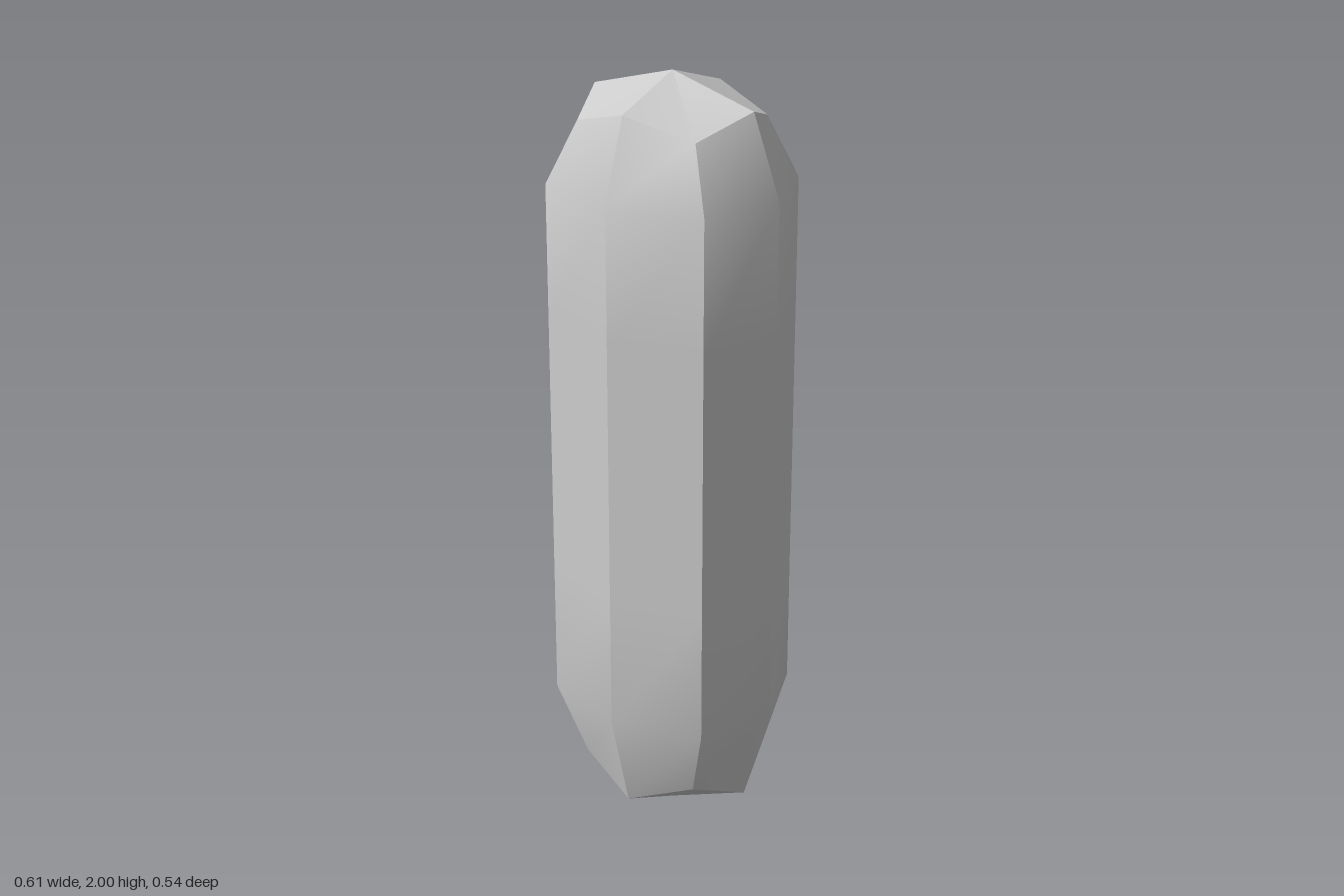
import * as THREE from 'three';
import { toCreasedNormals } from 'three/addons/utils/BufferGeometryUtils.js';

// Rings from top to bottom: half width, half depth, height of the axis points,
// then half width, half depth, height of the diagonal points
const RINGS = [
  [0.23, 0.20, 1.935, 0.17, 0.15, 1.885],
  [0.305, 0.27, 1.73, 0.23, 0.20, 1.73],
  [0.305, 0.27, 1.39, 0.23, 0.20, 1.39],
  [0.305, 0.27, 0.70, 0.23, 0.20, 0.70],
  [0.305, 0.27, 0.36, 0.23, 0.20, 0.36],
  [0.23, 0.20, 0.095, 0.17, 0.15, 0.16],
];

// Eight points around the y axis, from +x towards +z
function ringPoints([ax, az, ay, dx, dz, dy]) {
  const points = [];
  for (let i = 0; i < 8; i++) {
    const angle = (i * Math.PI) / 4;
    const sx = Math.round(Math.cos(angle));
    const sz = Math.round(Math.sin(angle));
    points.push(i % 2 ? [sx * dx, dy, sz * dz] : [sx * ax, ay, sz * az]);
  }
  return points;
}

export function createModel() {
  const rings = RINGS.map(ringPoints);
  const positions = [];
  const quad = (a, b, c, d) => positions.push(...a, ...b, ...c, ...a, ...c, ...d);

  // Faceted sides
  for (let r = 0; r < rings.length - 1; r++) {
    for (let i = 0; i < 8; i++) {
      const j = (i + 1) % 8;
      quad(rings[r][i], rings[r][j], rings[r + 1][j], rings[r + 1][i]);
    }
  }

  // Four kite facets close each end
  const top = rings[0];
  const bottom = rings[rings.length - 1];
  for (let i = 0; i < 8; i += 2) {
    const j = (i + 2) % 8;
    quad([0, 2, 0], top[j], top[i + 1], top[i]);
    quad([0, 0, 0], bottom[i], bottom[i + 1], bottom[j]);
  }

  const geometry = new THREE.BufferGeometry();
  geometry.setAttribute('position', new THREE.Float32BufferAttribute(positions, 3));

  // Soft shoulders, sharp facet edges
  const material = new THREE.MeshStandardMaterial({ color: 0xcccccc });
  const body = new THREE.Mesh(toCreasedNormals(geometry, Math.PI / 6), material);
  body.name = 'facetedCapsule';

  const group = new THREE.Group();
  group.name = 'capsule';
  group.add(body);
  return group;
}
